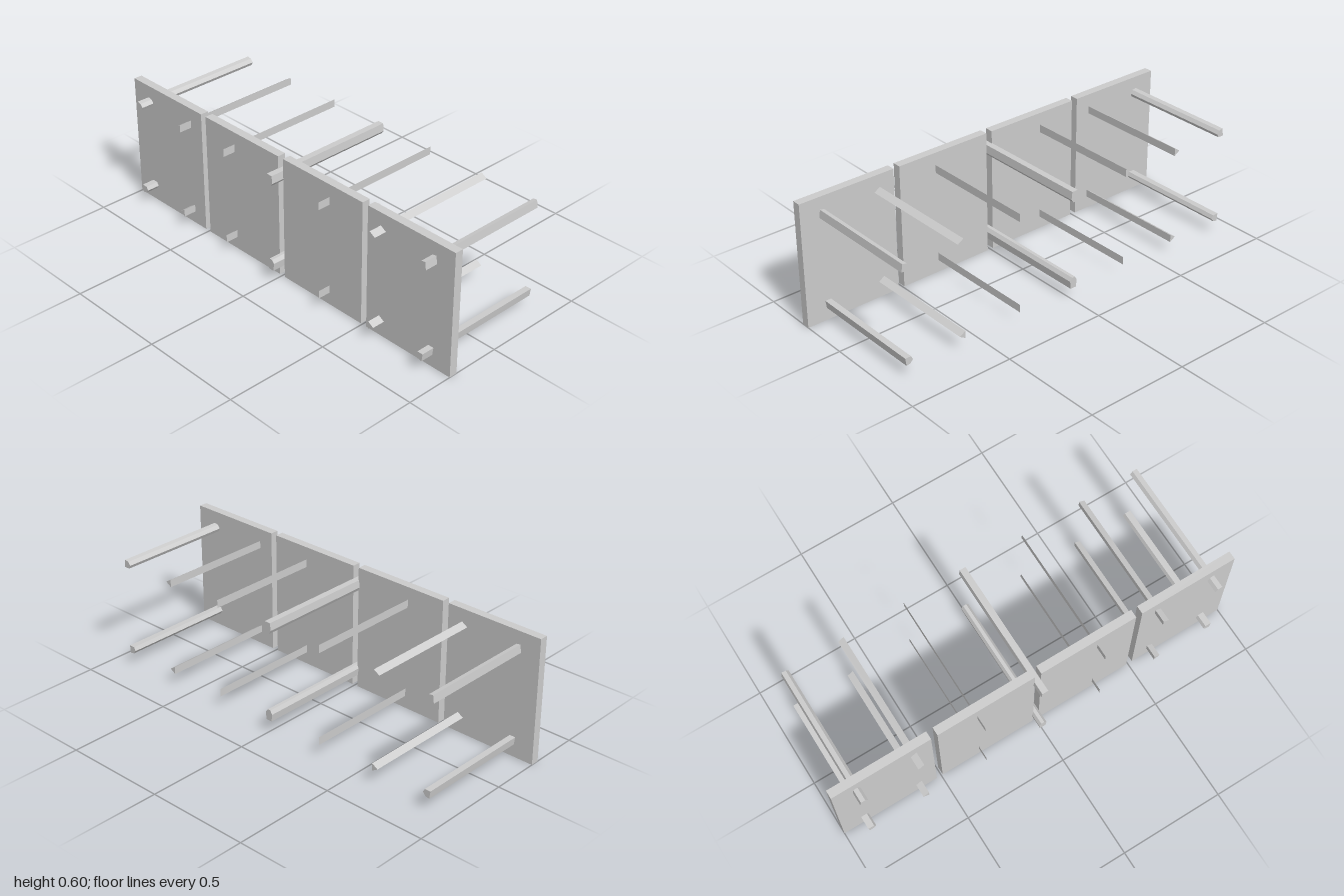
import * as THREE from 'three';

const LENGTH = 0.666, MID_Y = 0.3;

// Cross-sections of the upper rods, for the +x side
const OUTER = [[0.906, 0.503], [0.901, 0.54], [0.88, 0.536], [0.868, 0.52], [0.877, 0.503]];
const WEDGE = [[0.597, 0.503], [0.626, 0.521], [0.597, 0.539]];
const CENTRE = [[-0.018, 0.54], [0.012, 0.54], [0.016, 0.503], [0.004, 0.487], [-0.012, 0.487], [-0.022, 0.505]];

export function createModel() {
  const model = new THREE.Group();
  const material = new THREE.MeshStandardMaterial({ color: 0xcccccc, flatShading: true });
  const thin = new THREE.MeshStandardMaterial({ color: 0xcccccc, side: THREE.DoubleSide });

  const add = (name, geometry, mat = material) => {
    const mesh = new THREE.Mesh(geometry, mat);
    mesh.name = name;
    model.add(mesh);
    return mesh;
  };

  // Rod of constant section along z, mirrored in x and about the middle height
  const addRod = (name, section, sx, sy) => {
    const points = section.map(([x, y]) => new THREE.Vector2(x * sx, MID_Y + (y - MID_Y) * sy));
    const geometry = new THREE.ExtrudeGeometry(new THREE.Shape(points), { depth: LENGTH, bevelEnabled: false });
    geometry.translate(0, 0, -LENGTH / 2);
    add(name, geometry);
  };

  // Four upright panels with narrow gaps
  const width = 0.477, pitch = (2 - width) / 3;
  for (let i = 0; i < 4; i++) {
    add('panel', new THREE.BoxGeometry(width, 0.6, 0.04)).position.set((i - 1.5) * pitch, MID_Y, 0.25);
  }

  // Upper and lower rows of rods through the panels
  for (const sy of [1, -1]) {
    addRod('centreRod', CENTRE, 1, sy);
    for (const sx of [1, -1]) {
      addRod('outerRod', OUTER, sx, sy);
      addRod('wedgeRod', WEDGE, sx, sy);
      // Flat upright strip
      const strip = add('flatStrip', new THREE.PlaneGeometry(LENGTH, 0.038), thin);
      strip.rotation.y = Math.PI / 2;
      strip.position.set(0.3 * sx, MID_Y + 0.221 * sy, 0);
    }
  }
  return model;
}
